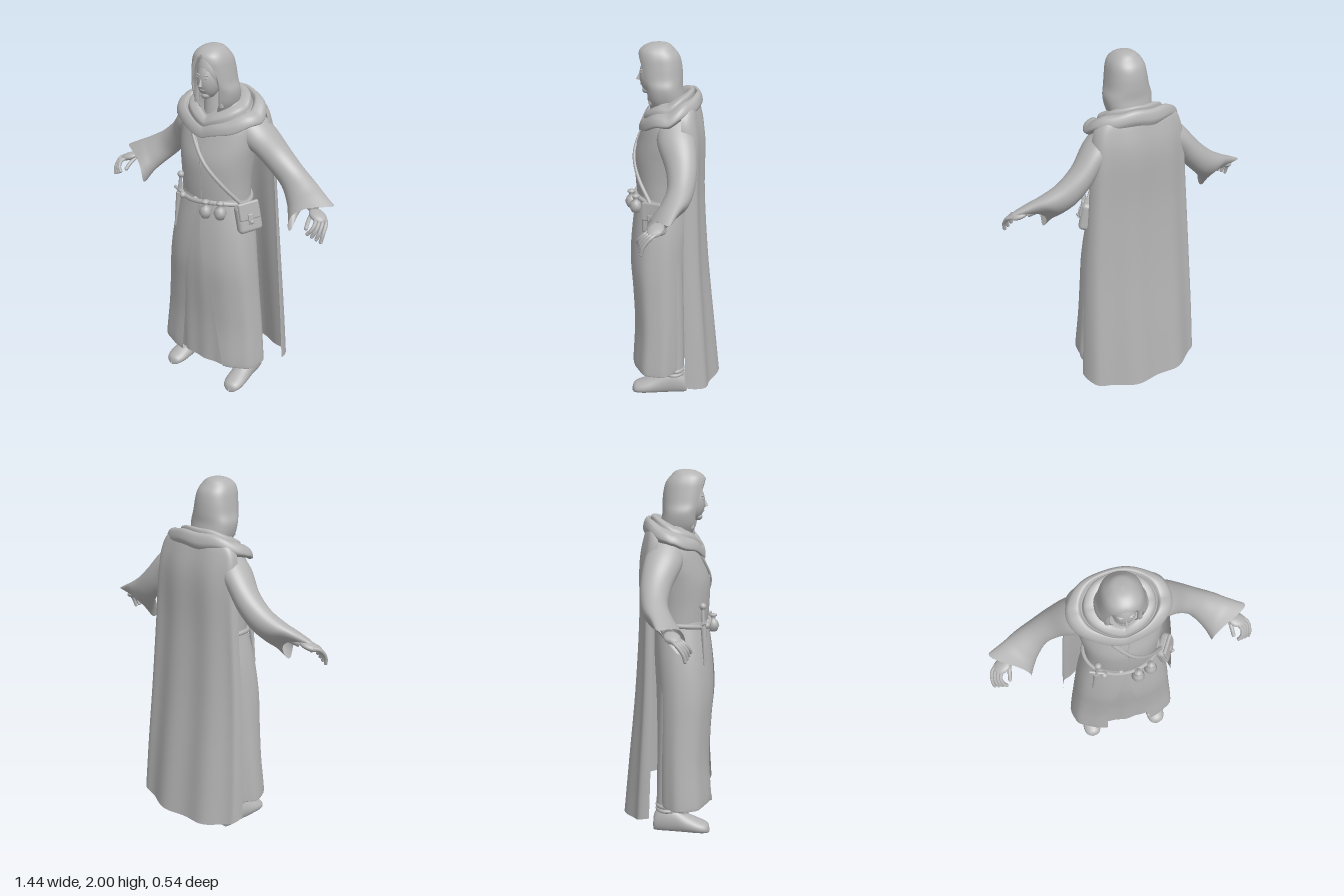
import * as THREE from 'three';
import { RoundedBoxGeometry } from 'three/addons/geometries/RoundedBoxGeometry.js';

const grey = new THREE.MeshStandardMaterial({ color: 0xb3b3b3, side: THREE.DoubleSide });
grey.name = 'plain grey';

const V = (p) => new THREE.Vector3(...p);

function add(parent, name, geo, pos = [0, 0, 0], scale = [1, 1, 1], rot = [0, 0, 0]) {
  const m = new THREE.Mesh(geo, grey);
  m.name = name;
  m.position.set(...pos);
  m.scale.set(...scale);
  m.rotation.set(...rot);
  parent.add(m);
  return m;
}

// Smooth interpolation through rows of equal length, v from 0 to 1
function sample(rows, v) {
  const f = v * (rows.length - 1), i = Math.min(Math.floor(f), rows.length - 2), t = f - i;
  const at = (k) => rows[Math.max(0, Math.min(rows.length - 1, k))];
  const [a, b, c, d] = [at(i - 1), at(i), at(i + 1), at(i + 2)];
  return b.map((_, k) => b[k] + 0.5 * t * (c[k] - a[k]
    + t * (2 * a[k] - 5 * b[k] + 4 * c[k] - d[k] + t * (3 * (b[k] - c[k]) + d[k] - a[k]))));
}

// Grid surface from a point rule; u runs round, v runs along
function surface(nu, nv, closed, rule) {
  const pos = [], idx = [], cols = closed ? nu : nu + 1;
  for (let j = 0; j <= nv; j++)
    for (let i = 0; i < cols; i++) pos.push(...rule(i / nu, j / nv));
  for (let j = 0; j < nv; j++)
    for (let i = 0; i < nu; i++) {
      const a = j * cols + i, b = j * cols + (i + 1) % cols;
      idx.push(a, a + cols, b, b, a + cols, b + cols);
    }
  const g = new THREE.BufferGeometry();
  g.setAttribute('position', new THREE.Float32BufferAttribute(pos, 3));
  g.setIndex(idx);
  g.computeVertexNormals();
  return g;
}

// Upright cloth: rows of [y, half width, front z, back z, left x and right x of the front opening]
function cloth(rows, { fold = 0, waves = 9, closed = false, square = 0.8 } = {}) {
  return surface(72, 40, closed, (u, v) => {
    const [y, rx, zf, zb, g0 = 0, g1 = 0] = sample(rows, v);
    const angle = (x) => Math.asin(THREE.MathUtils.clamp(x / rx, -0.95, 0.95));
    const t0 = angle(g0), t1 = 2 * Math.PI + angle(g1);
    const t = t0 + (t1 - t0) * u, c = Math.cos(t), k = 1 + fold * v * Math.sin(waves * t + 1);
    return [rx * k * Math.sin(t), y, (zf + zb) / 2 + (zf - zb) / 2 * k * Math.sign(c) * Math.abs(c) ** square];
  });
}

function tube(parent, name, pts, r, closed = false) {
  const curve = new THREE.CatmullRomCurve3(pts.map(V), closed);
  add(parent, name, new THREE.TubeGeometry(curve, pts.length * 6, r, 8, closed));
}

function limb(parent, name, a, b, ra, rb) {
  const d = V(b).sub(V(a));
  const m = add(parent, name, new THREE.CylinderGeometry(rb, ra, d.length(), 14));
  m.position.copy(V(a)).addScaledVector(d, 0.5);
  m.quaternion.setFromUnitVectors(new THREE.Vector3(0, 1, 0), d.normalize());
}

const ball = (r) => new THREE.SphereGeometry(r, 20, 14);

function buildRobe(g) {
  add(g, 'robeTorso', cloth([[1.73, 0.06, 0.1, -0.03], [1.68, 0.17, 0.11, -0.1], [1.6, 0.22, 0.155, -0.125],
    [1.5, 0.225, 0.19, -0.13], [1.4, 0.212, 0.215, -0.12], [1.28, 0.2, 0.215, -0.1], [1.16, 0.198, 0.205, -0.09]],
    { closed: true, square: 0.9 }));
  add(g, 'robeSkirt', cloth([[1.2, 0.193, 0.205, -0.09, 0.002, -0.002], [1, 0.24, 0.235, -0.09, 0.02, -0.03],
    [0.8, 0.27, 0.25, -0.08, 0.05, -0.07], [0.6, 0.29, 0.24, -0.075, 0.09, -0.095], [0.4, 0.31, 0.235, -0.075, 0.12, -0.11],
    [0.19, 0.33, 0.25, -0.075, 0.165, -0.12], [0.16, 0.325, 0.24, -0.07, 0.165, -0.12], [0.165, 0.3, 0.22, -0.06, 0.15, -0.11]],
    { fold: 0.015, waves: 11 }));
  add(g, 'innerSkirt', cloth([[1.16, 0.17, 0.18, -0.08], [0.8, 0.23, 0.215, -0.065], [0.4, 0.27, 0.195, -0.055], [0.125, 0.27, 0.195, -0.05]],
    { closed: true, fold: 0.03, waves: 13 }));
  // Chest opening and shoulder strap
  tube(g, 'robeSeam', [[-0.11, 1.6, 0.135], [-0.03, 1.5, 0.188], [0.01, 1.42, 0.211], [0.01, 1.2, 0.207]], 0.005);
  tube(g, 'robeSeam', [[0.03, 1.55, 0.17], [0.01, 1.47, 0.198], [0, 1.42, 0.212]], 0.005);
  tube(g, 'shoulderStrap', [[-0.13, 1.62, 0.115], [-0.05, 1.51, 0.183], [0.04, 1.4, 0.215], [0.13, 1.29, 0.185], [0.21, 1.18, 0.12]], 0.011);
}

function buildCape(g) {
  // Rows down the cape: [y, half width, edge z, back z]
  const rows = [[1.72, 0.17, -0.06, -0.115], [1.65, 0.24, -0.045, -0.14], [1.5, 0.27, -0.055, -0.165], [1.2, 0.293, -0.07, -0.165],
    [0.8, 0.325, -0.07, -0.19], [0.4, 0.35, -0.08, -0.23], [0.08, 0.365, -0.09, -0.262]];
  add(g, 'cape', surface(80, 36, false, (u, v) => {
    const [y, rx, ze, zb] = sample(rows, v), t = Math.PI * (0.5 + u);
    const back = Math.abs(Math.cos(t)) ** (0.6 + 0.3 * v), ripple = 0.012 * v * Math.sin(24 * u + 1);
    return [rx * Math.sin(t) + 0.012 * v, y + 0.05 * v * (1 - back), ze + (zb - ze) * back + ripple];
  }));
}

function buildMantle(g) {
  // Rows from neck to outer rim: [half width, front z, back z, back y, front y]
  const rows = [[0.085, 0.12, -0.05, 1.72, 1.63], [0.12, 0.145, -0.08, 1.755, 1.625], [0.17, 0.165, -0.105, 1.755, 1.6],
    [0.185, 0.165, -0.108, 1.715, 1.575], [0.205, 0.175, -0.12, 1.745, 1.58], [0.25, 0.188, -0.14, 1.735, 1.555],
    [0.268, 0.19, -0.15, 1.695, 1.525], [0.245, 0.175, -0.14, 1.665, 1.53]];
  add(g, 'mantle', surface(72, 42, true, (u, v) => {
    const [rx, zf, zb, yb, yf] = sample(rows, v), t = u * 2 * Math.PI, c = Math.cos(t), s = Math.sin(t);
    // Straight fall to a point at the front, round at the back
    const round = ((1 + c) / 2) ** 1.3, dip = c > 0 ? 0.3 * round + 0.7 * (0.4 + 0.6 * (1 - Math.abs(s))) : round;
    return [rx * s, yb + (yf - yb) * dip + 0.006 * Math.sin(7 * t) * v, (zf + zb) / 2 + (zf - zb) / 2 * c];
  }));
}

function buildHead(g) {
  add(g, 'hood', cloth([[2, 0.001, 0.081, 0.079, 0, 0], [1.992, 0.045, 0.135, 0.03, 0, 0], [1.965, 0.078, 0.178, 0, 0, 0],
    [1.93, 0.096, 0.192, -0.027, 0.045, -0.045], [1.88, 0.106, 0.192, -0.04, 0.074, -0.074], [1.82, 0.116, 0.185, -0.045, 0.088, -0.088],
    [1.77, 0.13, 0.165, -0.045, 0.092, -0.092], [1.71, 0.122, 0.155, -0.055, 0.075, -0.075], [1.66, 0.1, 0.13, -0.05, 0.05, -0.05]]));
  const head = new THREE.Group();
  head.name = 'head';
  g.add(head);
  add(head, 'skull', ball(1), [0, 1.86, 0.085], [0.08, 0.1, 0.088]);
  add(head, 'face', ball(1), [0, 1.825, 0.12], [0.06, 0.098, 0.066]);
  add(head, 'chin', ball(1), [0, 1.748, 0.148], [0.026, 0.02, 0.024]);
  add(head, 'nose', new THREE.ConeGeometry(0.011, 0.05, 10), [0, 1.826, 0.186], [1, 1, 1], [-0.25, 0, 0]);
  add(head, 'mouth', ball(1), [0, 1.78, 0.172], [0.018, 0.006, 0.01]);
  add(head, 'neck', new THREE.CylinderGeometry(0.047, 0.06, 0.16, 20), [0, 1.69, 0.075]);
  for (const s of [-1, 1]) {
    add(head, 'eye', ball(1), [0.024 * s, 1.844, 0.174], [0.011, 0.005, 0.006]);
    add(head, 'brow', ball(1), [0.025 * s, 1.858, 0.172], [0.018, 0.004, 0.008], [0, 0.3 * s, 0]);
    tube(head, 'hairLock', [[0.04 * s, 1.925, 0.14], [0.066 * s, 1.87, 0.13], [0.076 * s, 1.79, 0.12], [0.08 * s, 1.69, 0.12]], 0.014);
  }
}

function buildArm(g, side) {
  const arm = new THREE.Group();
  arm.name = side > 0 ? 'leftArm' : 'rightArm';
  arm.scale.x = side;
  g.add(arm);
  // Sleeve rows: upper point x, y, z; lower point x, y, z; half depth; bow of the cuff
  const rows = [[0.17, 1.68, -0.01, 0.17, 1.43, -0.01, 0.1, 0], [0.28, 1.58, -0.03, 0.215, 1.44, -0.02, 0.098, 0],
    [0.37, 1.475, -0.055, 0.29, 1.355, -0.045, 0.08, 0], [0.46, 1.395, -0.055, 0.37, 1.275, -0.045, 0.07, 0],
    [0.55, 1.34, -0.04, 0.435, 1.21, 0, 0.072, 0.1], [0.62, 1.305, -0.02, 0.475, 1.16, 0.05, 0.065, 0.4],
    [0.7, 1.265, 0, 0.505, 1.1, 0.09, 0.055, 1]];
  add(arm, 'sleeve', surface(32, 36, true, (u, v) => {
    const [tx, ty, tz, bx, by, bz, hd, bow] = sample(rows, v), t = u * 2 * Math.PI;
    const k = (1 + Math.cos(t)) / 2, s = Math.sin(t), b = bow * s * s;
    return [bx + (tx - bx) * k - 0.06 * b, by + (ty - by) * k + 0.04 * b, bz + (tz - bz) * k - hd * s];
  }));
  limb(arm, 'forearm', [0.46, 1.31, -0.02], [0.61, 1.232, 0.035], 0.04, 0.026);
  add(arm, 'palm', ball(1), [0.645, 1.218, 0.06], [0.055, 0.021, 0.042], [0, -0.35, -0.3]);
  for (let i = 0; i < 4; i++) {
    const tip = [0.642 + 0.022 * i, 1.15 - 0.011 * i, 0.148 - 0.007 * i];
    tube(arm, 'finger', [[0.64 + 0.012 * i, 1.215, 0.08 - 0.012 * i], [0.663 + 0.014 * i, 1.2, 0.115 - 0.012 * i],
      [0.658 + 0.018 * i, 1.172 - 0.006 * i, 0.14 - 0.008 * i], tip], 0.01);
    add(arm, 'fingertip', ball(0.01), tip);
  }
  const thumbTip = [0.618, 1.165, 0.125];
  tube(arm, 'thumb', [[0.605, 1.215, 0.055], [0.612, 1.193, 0.095], thumbTip], 0.011);
  add(arm, 'thumbTip', ball(0.011), thumbTip);
}

function buildLeg(g, side) {
  const leg = new THREE.Group();
  leg.name = side > 0 ? 'leftLeg' : 'rightLeg';
  leg.position.x = 0.205 * side;
  leg.rotation.y = 0.06 * side;
  g.add(leg);
  // Shoe rows along its length: [z, half width, height]
  const rows = [[-0.082, 0.003, 0.04], [-0.075, 0.038, 0.1], [-0.03, 0.05, 0.145], [0.04, 0.052, 0.14],
    [0.11, 0.057, 0.1], [0.18, 0.057, 0.07], [0.225, 0.04, 0.05], [0.238, 0.003, 0.02]];
  add(leg, 'shoe', surface(24, 28, true, (u, v) => {
    const [z, w, h] = sample(rows, v), a = u * 2 * Math.PI;
    return [-w * Math.cos(a), Math.max(0, h * (0.45 + 0.55 * Math.sin(a))), z];
  }));
  limb(leg, 'trouserLeg', [0, 0.13, -0.005], [-0.06 * side, 0.9, 0.03], 0.06, 0.085);
  for (const y of [0.13, 0.155])
    add(leg, 'trouserCuff', new THREE.TorusGeometry(0.052, 0.013, 10, 24), [0, y, -0.005], [1, 1, 1], [Math.PI / 2, 0, 0]);
}

function buildBelt(g) {
  const ring = Array.from({ length: 16 }, (_, i) => {
    const t = i * Math.PI / 8;
    return [0.205 * Math.sin(t), 1.172 + 0.008 * Math.sin(3 * t), 0.06 + 0.157 * Math.cos(t)];
  });
  tube(g, 'belt', ring, 0.013, true);
  for (const x of [-0.12, -0.03]) add(g, 'beltKnot', ball(0.018), [x, 1.17, 0.205]);
  // Hanging flasks
  const profile = [[0, -0.038], [0.022, -0.032], [0.036, 0], [0.026, 0.026], [0.014, 0.036], [0.014, 0.05], [0.021, 0.054], [0.021, 0.064], [0, 0.072]];
  for (const [x, z] of [[0.06, 0.235], [0.135, 0.205]])
    add(g, 'flask', new THREE.LatheGeometry(profile.map((q) => new THREE.Vector2(...q)), 20), [x, 1.135, z]);
  // Dagger in its sheath
  limb(g, 'sheath', [-0.185, 0.96, 0.2], [-0.16, 1.17, 0.19], 0.005, 0.016);
  limb(g, 'daggerGrip', [-0.16, 1.17, 0.19], [-0.148, 1.27, 0.185], 0.009, 0.009);
  limb(g, 'daggerGuard', [-0.195, 1.192, 0.18], [-0.12, 1.18, 0.2], 0.009, 0.009);
  add(g, 'daggerPommel', ball(0.019), [-0.147, 1.28, 0.185]);
  // Side pouch, hanging with its foot pushed outwards
  const pouch = new THREE.Group();
  pouch.name = 'pouch';
  pouch.position.set(0.24, 1.11, 0.097);
  pouch.rotation.set(0, 1.05, 0.2, 'ZYX');
  g.add(pouch);
  add(pouch, 'pouchBody', new RoundedBoxGeometry(0.14, 0.16, 0.06, 4, 0.025), [0, -0.01, 0]);
  add(pouch, 'pouchFlap', new RoundedBoxGeometry(0.12, 0.1, 0.02, 3, 0.009), [0, 0.035, 0.026]);
  add(pouch, 'pouchTab', new RoundedBoxGeometry(0.03, 0.06, 0.012, 2, 0.005), [0, -0.01, 0.037]);
  add(pouch, 'pouchButton', ball(0.01), [0, -0.025, 0.043]);
}

export function createModel() {
  const g = new THREE.Group();
  g.name = 'hoodedTraveller';
  buildRobe(g);
  buildCape(g);
  buildMantle(g);
  buildHead(g);
  buildBelt(g);
  for (const side of [-1, 1]) {
    buildArm(g, side);
    buildLeg(g, side);
  }
  return g;
}
